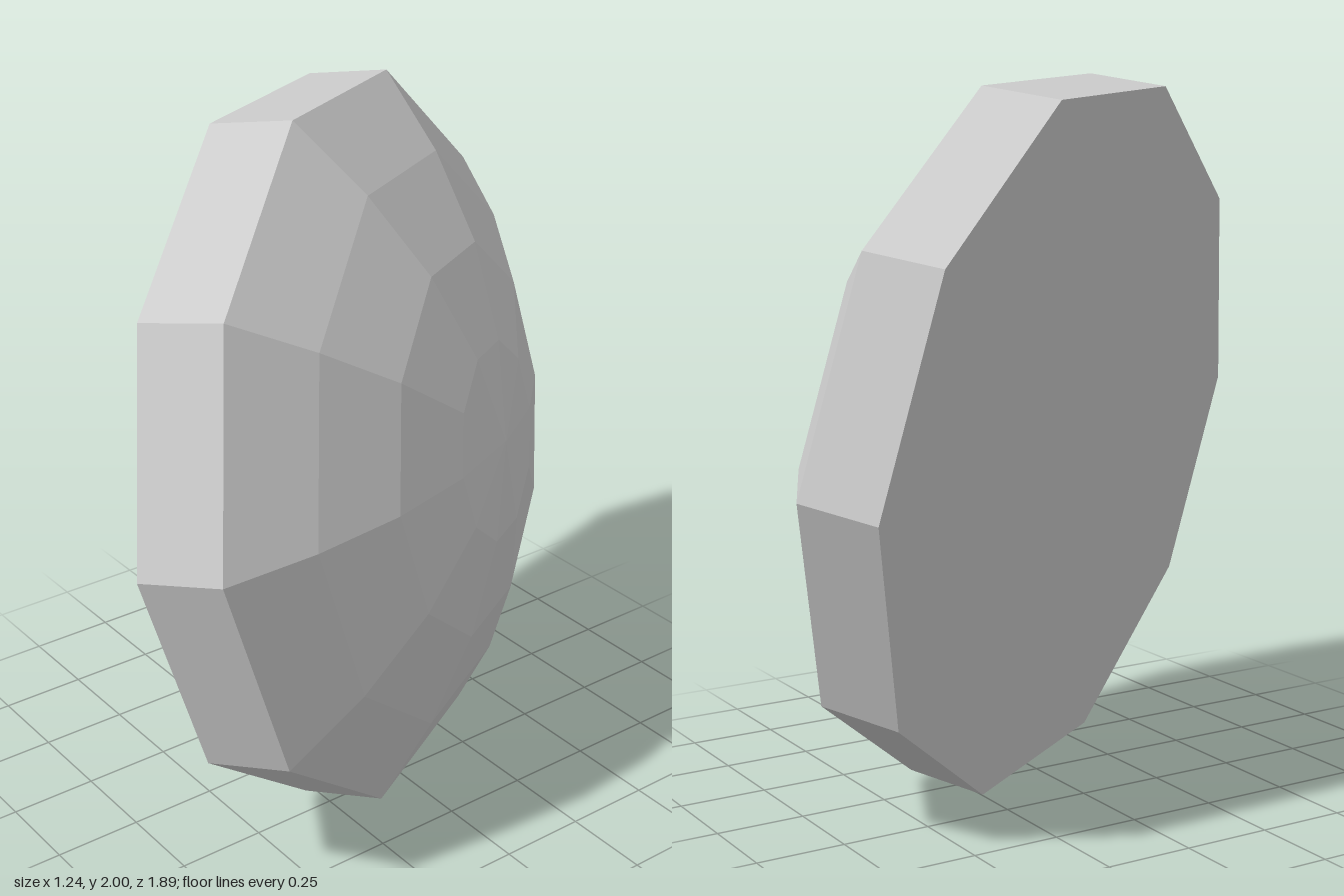
import * as THREE from 'three';

const SIDES = 10;
const RADIUS = 1.026;
const RIM = 0.236; // thickness of the straight edge
const APEX = 0.6; // height of the dome above the flat face

export function createModel() {
  const group = new THREE.Group();
  group.name = 'tiltedDome';
  const grey = new THREE.MeshStandardMaterial({ color: 0xcccccc });
  grey.name = 'grey';

  // Turns a profile into a faceted ten-sided part
  const addPart = (name, profile) => {
    const points = profile.map(([r, h]) => new THREE.Vector2(r, h));
    const geometry = new THREE.LatheGeometry(points, SIDES).toNonIndexed();
    geometry.computeVertexNormals();
    const mesh = new THREE.Mesh(geometry, grey);
    mesh.name = name;
    group.add(mesh);
  };

  // Flat face and straight rim
  addPart('flatFace', [[0, 0], [RADIUS, 0]]);
  addPart('rim', [[RADIUS, 0], [RADIUS, RIM]]);

  // Shallow spherical cap in four rings of 10 degrees
  const sphere = RADIUS / Math.sin(Math.PI * 2 / 9);
  const cap = [];
  for (let i = 4; i >= 0; i--) {
    const a = i * Math.PI / 18;
    const drop = (1 - Math.cos(a)) * sphere;
    cap.push([sphere * Math.sin(a), i === 4 ? RIM : APEX - drop]);
  }
  addPart('dome', cap);

  // Tilt: the dome axis and the direction of one corner
  const axis = new THREE.Vector3(0.852, 0.153, -0.501).normalize();
  const corner = new THREE.Vector3(0.5125, 0.055, 0.8875);
  const side = new THREE.Vector3().crossVectors(axis, corner).normalize();
  corner.crossVectors(side, axis);
  group.quaternion.setFromRotationMatrix(new THREE.Matrix4().makeBasis(side, axis, corner));
  group.position.set(-0.1075, 0.983, 0.0575);

  const model = new THREE.Group();
  model.name = 'model';
  model.add(group);
  return model;
}
